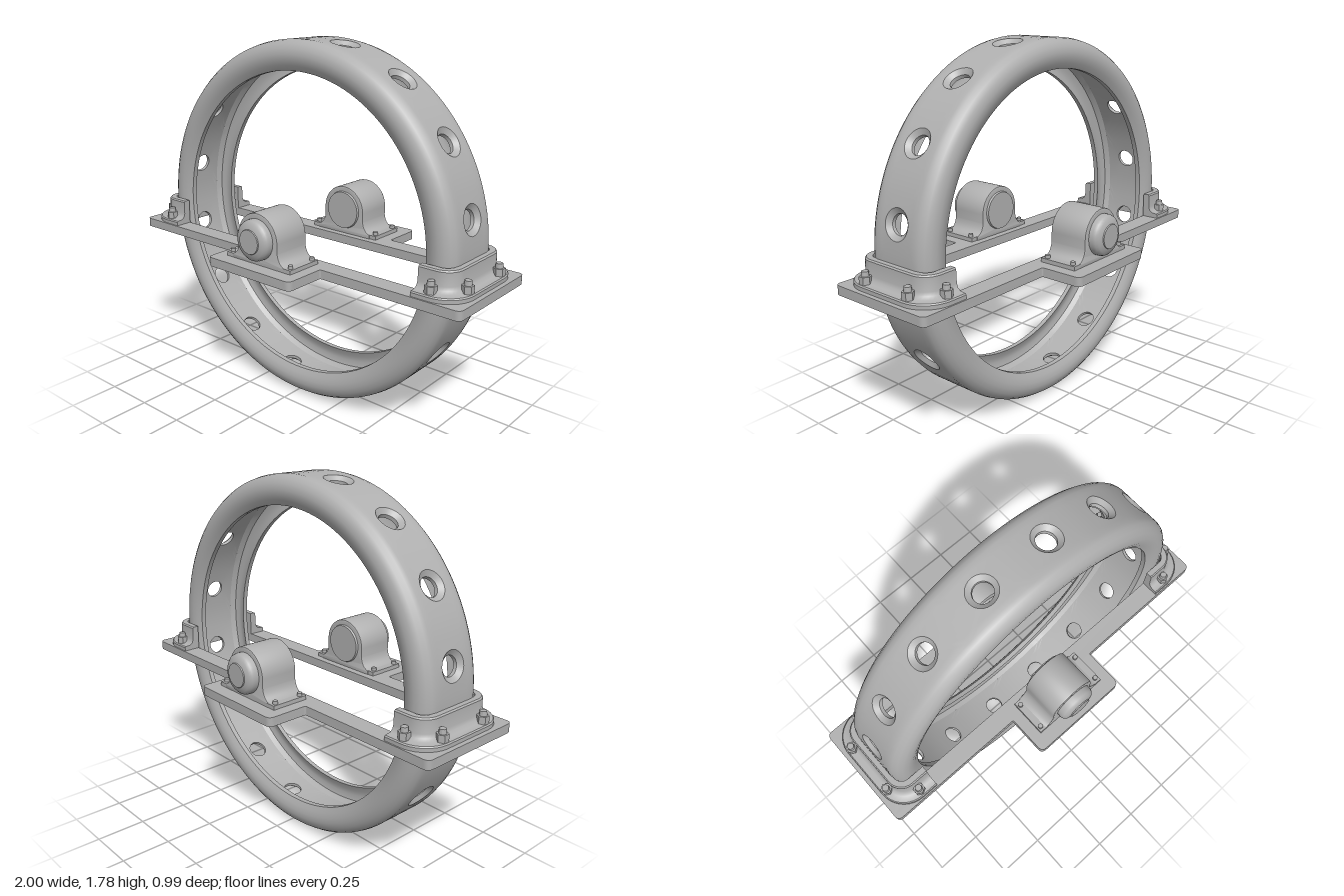
import * as THREE from 'three';
import { mergeGeometries, toCreasedNormals } from 'three/addons/utils/BufferGeometryUtils.js';

const metal = new THREE.MeshStandardMaterial({ color: 0xb0b0b0 });
metal.name = 'grey metal';

const R = 0.892;          // ring outer radius and centre height
const R_IN = 0.855;       // channel floor radius
const BAND = 0.115;       // half width of the flat perforated band
const HOLES = 16;
const PLATE_Y = 0.725, PLATE_TOP = 0.77;

// Smooth normals with sharp edges kept; scaled up so small details stay distinct
function crease(geo, angle = 0.5) {
  geo.scale(50, 50, 50);
  const out = toCreasedNormals(geo, angle);
  return out.scale(0.02, 0.02, 0.02);
}

function part(name, geo, parent, x = 0, y = 0, z = 0) {
  const mesh = new THREE.Mesh(geo, metal);
  mesh.name = name;
  mesh.position.set(x, y, z);
  parent.add(mesh);
  return mesh;
}

// Surface through rows of points
function loft(rows) {
  const pos = [];
  for (let i = 0; i < rows.length - 1; i++) {
    for (let j = 0; j < rows[i].length - 1; j++) {
      const a = rows[i][j], b = rows[i][j + 1], c = rows[i + 1][j + 1], d = rows[i + 1][j];
      pos.push(...a, ...b, ...c, ...a, ...c, ...d);
    }
  }
  const geo = new THREE.BufferGeometry();
  geo.setAttribute('position', new THREE.Float32BufferAttribute(pos, 3));
  return geo;
}

function bare(geo) {
  const g = geo.index ? geo.toNonIndexed() : geo;
  g.deleteAttribute('uv');
  g.deleteAttribute('normal');
  return g;
}

// Polygon with rounded corners; each point is [x, y, radius]
function roundedPath(points, target) {
  const n = points.length;
  points.forEach(([x, y, r], i) => {
    const toward = ([px, py]) => {
      const l = Math.hypot(px - x, py - y);
      return [x + (px - x) * r / l, y + (py - y) * r / l];
    };
    const a = toward(points[(i + n - 1) % n]), b = toward(points[(i + 1) % n]);
    if (i === 0) target.moveTo(...a); else target.lineTo(...a);
    if (r > 0) target.quadraticCurveTo(x, y, ...b);
  });
  target.closePath();
  return target;
}

// One sector of the band with a countersunk hole, outer skin through to inner skin
function holeSector(centre) {
  const side = 8, n = side * 4, half = Math.PI / HOLES;
  const at = (theta, r, z) => [r * Math.cos(theta), r * Math.sin(theta), z];
  const flat = (kind, size, j) => {
    const k = j % n;
    if (kind === 'circle') {
      const a = -Math.PI / 4 + (k / n) * Math.PI * 2;
      return [size * Math.cos(a) / 0.875, size * Math.sin(a)];
    }
    const t = (k % side) / side * 2 - 1;
    const [u, v] = [[1, t], [-t, 1], [-1, -t], [t, -1]][Math.floor(k / side)];
    return [u * half, v * BAND];
  };
  const row = (r, size, blend) => Array.from({ length: n + 1 }, (_, j) => {
    const c = flat('circle', size, j), q = flat('rect', 0, j);
    return at(centre + c[0] + (q[0] - c[0]) * blend, r, c[1] + (q[1] - c[1]) * blend);
  });
  return loft([row(R, 0.07, 1), row(R, 0.07, 0.5), row(R, 0.07, 0), row(0.872, 0.047, 0),
    row(R_IN, 0.047, 0), row(R_IN, 0.047, 0.5), row(R_IN, 0.047, 1)]);
}

function buildRing(group) {
  // Rounded wall from the outer band over the lip to the channel floor
  const wall = [[R, BAND], [0.887, 0.137], [0.873, 0.157], [0.852, 0.172], [0.825, 0.18],
    [0.8, 0.178], [0.775, 0.17], [0.75, 0.155], [0.75, 0.13], [0.78, 0.143],
    [0.81, 0.148], [0.838, 0.14], [R_IN, BAND]];
  const lathe = pts => bare(new THREE.LatheGeometry(
    pts.map(([r, z]) => new THREE.Vector2(r, z)), HOLES * 8).rotateX(Math.PI / 2));
  const pieces = [lathe(wall), lathe(wall.map(([r, z]) => [r, -z]).reverse())];
  for (let i = 0; i < HOLES; i++) pieces.push(holeSector((i + 0.5) * Math.PI * 2 / HOLES));
  part('perforatedRing', crease(mergeGeometries(pieces), 0.55), group, 0, R, 0);
}

function buildPlate(group) {
  const c = 0.03;
  const quarter = [[1, 0.28, c], [0.263, 0.28, 0.008], [0.263, 0.493, c]];
  const flip = (sx, sy, list) => list.map(([x, y, r]) => [x * sx, y * sy, r]);
  const back = [...quarter].reverse();
  const shape = roundedPath([...quarter, ...flip(-1, 1, back), ...flip(-1, -1, quarter), ...flip(1, -1, back)],
    new THREE.Shape());
  const slot = [[0.888, 0.185, 0.06], [-0.888, 0.185, 0.06], [-0.888, -0.185, 0.06], [0.888, -0.185, 0.06]];
  shape.holes.push(roundedPath(slot, new THREE.Path()));
  const geo = new THREE.ExtrudeGeometry(shape, { depth: PLATE_TOP - PLATE_Y, bevelEnabled: false, curveSegments: 8 });
  part('basePlate', crease(geo.rotateX(-Math.PI / 2)), group, 0, PLATE_Y, 0);
}

// Flanged U-shaped collar clamping the ring to one end of the plate
function buildCollar(group, turn) {
  const collar = new THREE.Group();
  collar.name = turn ? 'rightCollar' : 'leftCollar';
  collar.rotation.y = turn;
  group.add(collar);
  const open = 0.752, end = 0.888, h = 0.183, r = 0.05;
  // Cross-section: distance from the ring, height
  const profile = [[0, 0.895], [0.028, 0.895], [0.034, 0.888], [0.036, 0.825], [0.042, 0.808],
    [0.056, 0.797], [0.085, 0.794], [0.09, 0.788], [0.09, PLATE_TOP], [0, PLATE_TOP], [0, 0.895]];
  const rows = profile.map(([d, y]) => {
    const row = [[open, y, -h - d]];
    for (let i = 0; i <= 20; i++) {
      const k = i > 10 ? i - 1 : i;
      const a = -Math.PI / 2 + (i > 10 ? k - 9 + 9 : k) / 19 * Math.PI;
      const s = i < 10 ? -1 : 1;
      const t = i < 10 ? -Math.PI / 2 + (i / 9) * Math.PI / 2 : Math.min(Math.max(a, 0), Math.PI / 2);
      const angle = i === 10 ? 0 : i === 20 ? Math.PI / 2 : t;
      row.push([end - r + (r + d) * Math.cos(angle), y, s * (h - r) + (r + d) * Math.sin(angle)]);
    }
    row.push([open, y, h + d]);
    return row;
  });
  const pieces = [loft(rows)];
  for (const s of [-1, 1]) {
    const shape = new THREE.Shape(profile.slice(0, -1).map(([d, y]) => new THREE.Vector2(s * (h + d), y)));
    pieces.push(bare(new THREE.ShapeGeometry(shape).rotateY(-Math.PI / 2).translate(open, 0, 0)));
  }
  part('collarBody', crease(mergeGeometries(pieces), 0.6), collar);
  // Hex bolts with studs
  for (const s of [-1, 1]) {
    for (const [x, z] of [[0.83, 0.238], [0.947, 0.135]]) {
      part('boltHead', crease(new THREE.CylinderGeometry(0.028, 0.028, 0.04, 6)), collar, x, 0.81, s * z);
      part('boltStud', crease(new THREE.CylinderGeometry(0.016, 0.018, 0.022, 12)), collar, x, 0.841, s * z);
    }
  }
}

// Motor housing on a bolted foot, facing outward
function buildMotor(group, turn) {
  const motor = new THREE.Group();
  motor.name = turn ? 'backMotor' : 'frontMotor';
  motor.rotation.y = turn;
  group.add(motor);
  const cy = 0.895, r = 0.125;
  const shape = new THREE.Shape();
  shape.moveTo(-0.17, 0.765);
  shape.lineTo(0.17, 0.765);
  shape.lineTo(0.17, 0.79);
  shape.quadraticCurveTo(0.132, 0.8, r, 0.85);
  shape.lineTo(r, cy);
  shape.absarc(0, cy, r, 0, Math.PI, false);
  shape.lineTo(-r, 0.85);
  shape.quadraticCurveTo(-0.132, 0.8, -0.17, 0.79);
  const housing = new THREE.ExtrudeGeometry(shape, { depth: 0.184, curveSegments: 20,
    bevelThickness: 0.008, bevelSize: 0.006, bevelOffset: -0.006, bevelSegments: 2 });
  part('motorHousing', crease(housing, 0.6), motor, 0, 0, 0.228);
  part('motorFoot', new THREE.BoxGeometry(0.41, 0.02, 0.195), motor, 0, PLATE_TOP + 0.01, 0.3225);

  const cap = [[0.1, 0.41], [0.1, 0.44], [0.096, 0.453], [0.084, 0.465], [0.06, 0.472], [0.058, 0.477], [0, 0.477]];
  const lathe = new THREE.LatheGeometry(cap.map(p => new THREE.Vector2(...p)), 32).rotateX(Math.PI / 2);
  part('motorEndCap', crease(lathe, 0.6), motor, 0, cy, 0);
  const disc = new THREE.CylinderGeometry(0.104, 0.096, 0.025, 32).rotateX(Math.PI / 2);
  part('motorInnerCap', crease(disc), motor, 0, cy, 0.222);

  for (const x of [-0.187, 0.187]) {
    for (const z of [0.25, 0.397]) {
      part('footBolt', crease(new THREE.CylinderGeometry(0.012, 0.012, 0.018, 12)), motor, x, 0.797, z);
    }
  }
}

export function createModel() {
  const group = new THREE.Group();
  group.name = 'ringOnPlate';
  buildRing(group);
  buildPlate(group);
  for (const turn of [0, Math.PI]) {
    buildCollar(group, turn);
    buildMotor(group, turn);
  }
  return group;
}
